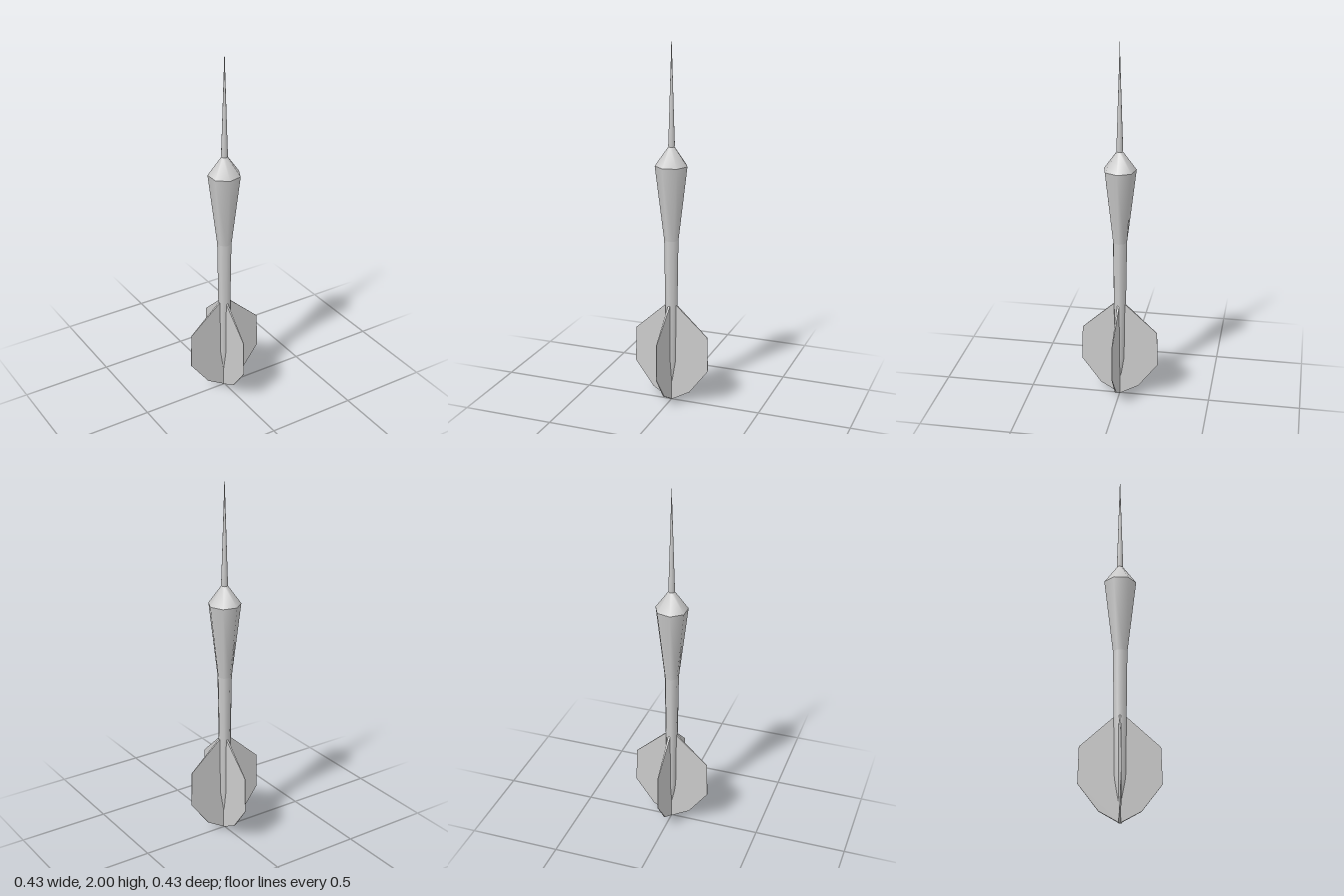
import * as THREE from 'three';

export function createModel() {
  const model = new THREE.Group();
  model.name = 'dart';
  const smooth = new THREE.MeshStandardMaterial({ color: 0xcccccc });
  const flat = new THREE.MeshStandardMaterial({ color: 0xcccccc, flatShading: true });

  const add = (name, geometry, material) => {
    const mesh = new THREE.Mesh(geometry, material);
    mesh.name = name;
    model.add(mesh);
    return mesh;
  };

  // Turned part from [radius, height] pairs listed bottom to top, first corner on +x
  const turned = (name, profile, sides) => add(name, new THREE.LatheGeometry(
    profile.map(([r, y]) => new THREE.Vector2(r, y)), sides, Math.PI / 2), smooth);

  // Seven-sided body, kept as separate parts where the edges are crisp
  turned('shaft', [[0, 0.05], [0.03, 0.23], [0.034, 0.55], [0.039, 0.92]], 7);
  turned('barrel', [[0.039, 0.92], [0.088, 1.325]], 7);
  turned('shoulder', [[0.088, 1.325], [0.017, 1.425]], 7);

  // Finer needle with a slightly rounded base
  turned('needle', [[0.012, 1.415], [0.018, 1.43], [0.0145, 1.53], [0, 2]], 10);

  // Flight outline, rooted on the axis
  const outline = new THREE.Shape([
    [0, 0], [0.107, 0.06], [0.213, 0.2], [0.208, 0.395], [0.04, 0.548], [0, 0.58],
  ].map(([x, y]) => new THREE.Vector2(x, y)));

  // Thick at the root, thin at the outer edge, with one face square to the axis
  const flight = new THREE.ExtrudeGeometry(outline, { depth: 1, bevelEnabled: false });
  const pos = flight.attributes.position;
  for (let i = 0; i < pos.count; i++) {
    const inner = THREE.MathUtils.lerp(-0.004, 0.006, pos.getX(i) / 0.213);
    pos.setZ(i, THREE.MathUtils.lerp(inner, 0.0085, pos.getZ(i)));
  }
  flight.computeVertexNormals();

  // Four flights in a pinwheel
  for (let i = 0; i < 4; i++) {
    add(`flight${i + 1}`, flight, flat).rotation.y = i * Math.PI / 2;
  }

  return model;
}
